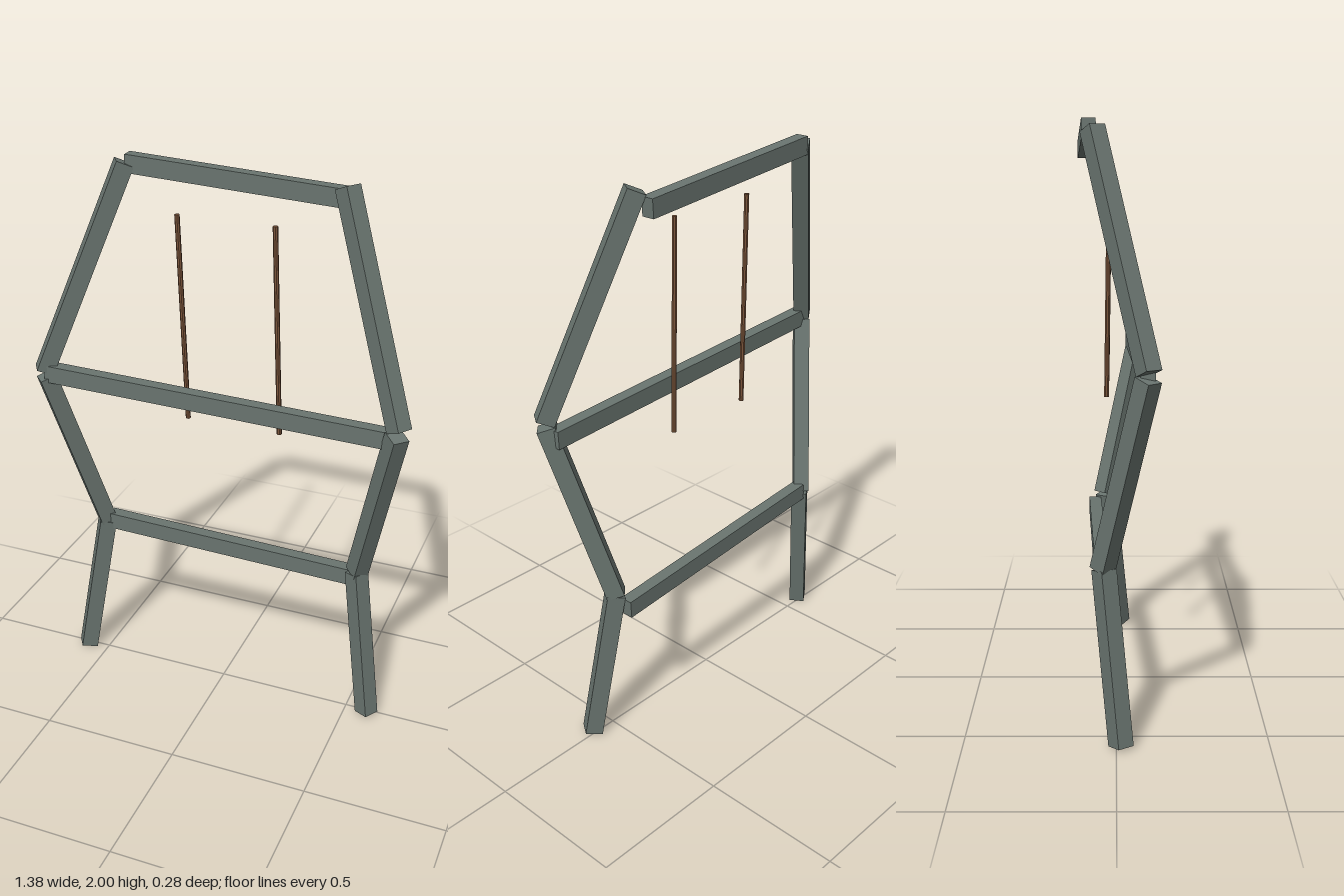
import * as THREE from 'three';

const metal = new THREE.MeshStandardMaterial({ color: 0x69746f, flatShading: true });
const wood = new THREE.MeshStandardMaterial({ color: 0x7a543a, flatShading: true });
const UP = new THREE.Vector3(0, 1, 0);

// Mesh whose local y axis runs from a to b, with its local x axis kept horizontal
function place(name, geometry, material, a, b) {
  const dir = b.clone().sub(a).normalize();
  const side = new THREE.Vector3().crossVectors(UP, dir).normalize();
  const third = new THREE.Vector3().crossVectors(side, dir);
  const mesh = new THREE.Mesh(geometry, material);
  mesh.quaternion.setFromRotationMatrix(new THREE.Matrix4().makeBasis(side, dir, third));
  mesh.position.copy(a).add(b).multiplyScalar(0.5);
  mesh.name = name;
  return mesh;
}

function beam(name, from, to, width, depth) {
  const a = new THREE.Vector3(...from);
  const b = new THREE.Vector3(...to);
  return place(name, new THREE.BoxGeometry(width, a.distanceTo(b), depth), metal, a, b);
}

export function createModel() {
  const model = new THREE.Group();
  model.name = 'frame';

  // Three-part bent posts, mirrored left and right
  const posts = [
    ['lowerPost', [0.583, 0.005, 0.015], [0.5, 0.575, -0.04]],
    ['middlePost', [0.5, 0.575, -0.045], [0.644, 1.217, 0.096]],
    ['upperPost', [0.65, 1.238, 0.098], [0.39, 1.97, -0.075]],
  ];
  for (const [label, s] of [['left', 1], ['right', -1]]) {
    const post = new THREE.Group();
    post.name = label + 'Post';
    for (const [name, a, b] of posts) {
      post.add(beam(name, [s * a[0], a[1], a[2]], [s * b[0], b[1], b[2]], 0.058, 0.062));
    }
    model.add(post);
  }

  // Slightly crooked crossbars
  const bars = [
    ['lowerCrossbar', [-0.485, 0.58, -0.048], [0.49, 0.53, -0.083]],
    ['middleCrossbar', [-0.64, 1.233, 0.096], [0.645, 1.185, 0.062]],
    ['topCrossbar', [-0.385, 1.969, -0.087], [0.384, 1.921, -0.12]],
  ];
  for (const [name, a, b] of bars) model.add(beam(name, a, b, 0.046, 0.063));

  // Two thin hanging rods
  for (const [name, x] of [['rightRod', -0.163], ['leftRod', 0.183]]) {
    const a = new THREE.Vector3(x + 0.013, 1.08, -0.033);
    const b = new THREE.Vector3(x - 0.013, 1.83, -0.023);
    model.add(place(name, new THREE.CylinderGeometry(0.009, 0.009, a.distanceTo(b), 8), wood, a, b));
  }
  return model;
}
